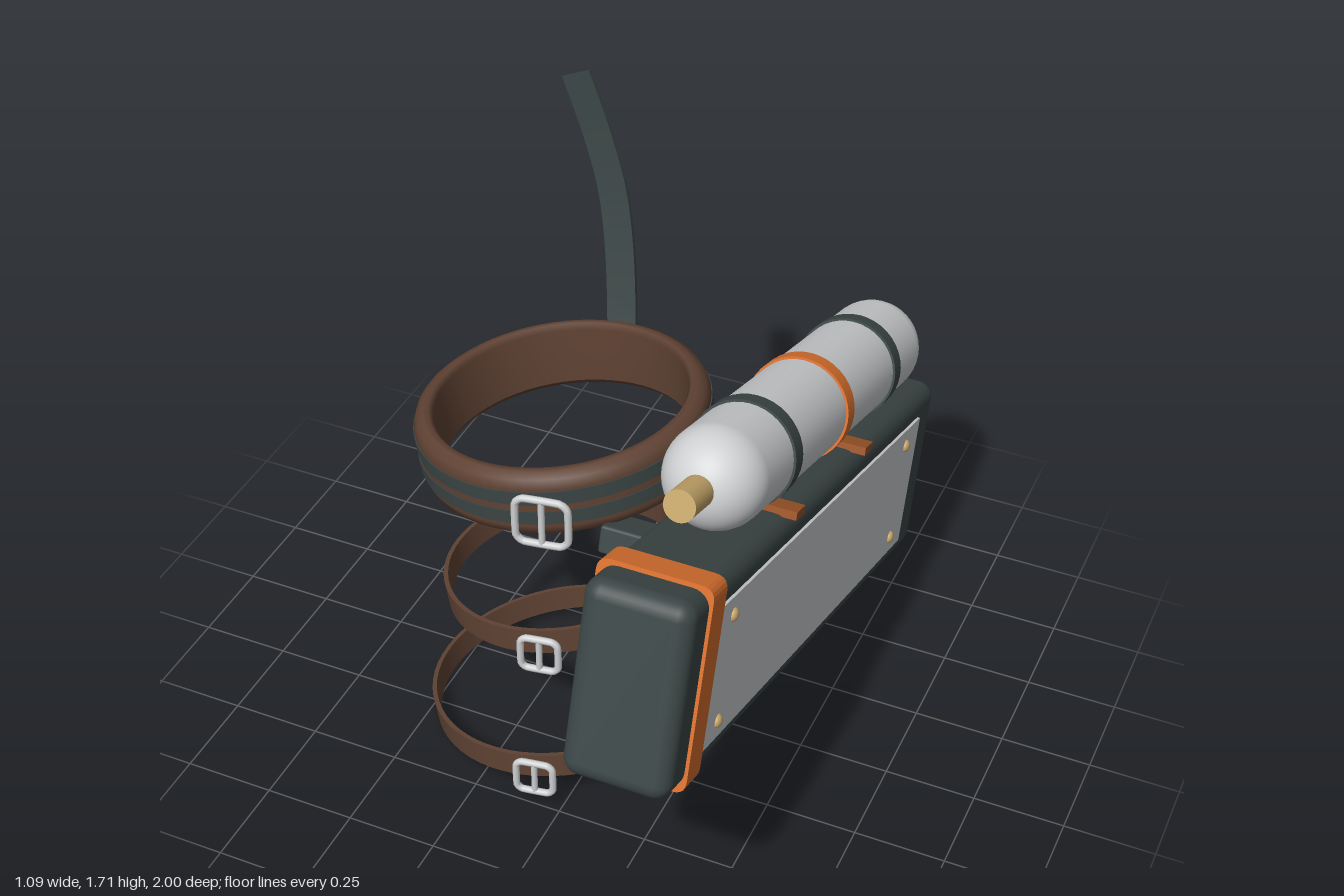
import * as THREE from 'three';
import { RoundedBoxGeometry } from 'three/addons/geometries/RoundedBoxGeometry.js';

const mat = (name, color, side = THREE.FrontSide) => {
  const m = new THREE.MeshStandardMaterial({ color, side });
  m.name = name;
  return m;
};

export function createModel() {
  const casing = mat('dark casing', 0x3c4646);
  const webbing = mat('dark webbing', 0x3a4444, THREE.DoubleSide);
  const silver = mat('pale metal', 0xcfd1d3);
  const orange = mat('orange', 0xd9702e);
  const rust = mat('rust', 0x9c5428);
  const leather = mat('brown leather', 0x5f4233);
  const brass = mat('brass', 0xc9a96c);

  const model = new THREE.Group();
  const add = (parent, name, geometry, material, x = 0, y = 0, z = 0) => {
    const mesh = new THREE.Mesh(geometry, material);
    mesh.name = name;
    mesh.position.set(x, y, z);
    parent.add(mesh);
    return mesh;
  };
  const subgroup = (parent, name, x, y, z) => {
    const g = new THREE.Group();
    g.name = name;
    g.position.set(x, y, z);
    parent.add(g);
    return g;
  };

  // Tilted launcher: everything here lies along its own z axis
  const launcher = subgroup(model, 'launcher', 0.386, 0.6655, 0.025);
  launcher.rotation.x = -0.311;
  add(launcher, 'body', new RoundedBoxGeometry(0.276, 0.508, 1.911, 4, 0.045), casing);

  // Band round the front, with rounded corners
  const w = 0.147, h = 0.266, r = 0.035;
  const outline = new THREE.Shape();
  outline.moveTo(-w + r, -h);
  outline.lineTo(w - r, -h);
  outline.quadraticCurveTo(w, -h, w, -h + r);
  outline.lineTo(w, h - r);
  outline.quadraticCurveTo(w, h, w - r, h);
  outline.lineTo(-w + r, h);
  outline.quadraticCurveTo(-w, h, -w, h - r);
  outline.lineTo(-w, -h + r);
  outline.quadraticCurveTo(-w, -h, -w + r, -h);
  const bandGeo = new THREE.ExtrudeGeometry(outline, { depth: 0.085, bevelEnabled: false, curveSegments: 5 });
  add(launcher, 'frontBand', bandGeo, orange, 0, 0, 0.76);

  // Side plate with four bolts
  add(launcher, 'sidePlate', new THREE.BoxGeometry(0.014, 0.38, 1.59), silver, 0.139, 0, 0);
  for (const z of [-0.68, 0.68]) for (const y of [-0.14, 0.14]) {
    const bolt = add(launcher, 'bolt', new THREE.SphereGeometry(0.018, 14, 10), brass, 0.146, y, z);
    bolt.scale.x = 0.7;
  }

  // Rear fins
  for (const y of [-0.165, -0.055, 0.055, 0.165]) {
    add(launcher, 'rearFin', new THREE.BoxGeometry(0.196, 0.012, 0.09), silver, 0, y, -0.973);
  }

  // Inner side brackets and saddles under the tank
  for (const s of [-1, 1]) {
    add(launcher, 'sideBracket', new RoundedBoxGeometry(0.19, 0.075, 0.105, 2, 0.008), casing, -0.204, 0.125, s * 0.4);
    add(launcher, 'saddle', new THREE.BoxGeometry(0.3, 0.022, 0.06), rust, 0, 0.26, s * 0.272);
  }

  // Gas tank with straps and valve
  const tank = subgroup(launcher, 'tank', 0.001, 0.3985, -0.082);
  tank.rotation.x = Math.PI / 2;
  add(tank, 'cylinder', new THREE.CapsuleGeometry(0.1325, 1.194, 12, 40), silver);
  add(tank, 'valve', new THREE.CylinderGeometry(0.041, 0.041, 0.15, 24), brass, 0, 0.76, 0);
  for (const y of [-0.4, 0, 0.4]) {
    add(tank, 'tankStrap', new THREE.CylinderGeometry(0.139, 0.139, 0.05, 40), y ? casing : orange, 0, y, 0);
  }

  // A closed ring with a rectangular section
  const hoop = (inner, outer, y0, y1) => new THREE.LatheGeometry(
    [[inner, y0], [outer, y0], [outer, y0], [outer, y1], [outer, y1], [inner, y1], [inner, y1], [inner, y0]]
      .map(([x, y]) => new THREE.Vector2(x, y)), 64);

  // Padded leather cuff with two dark stripes
  const cuff = subgroup(model, 'cuff', -0.155, 0.987, 0.097);
  cuff.rotation.z = 0.148;
  cuff.scale.x = 1.03;
  const cuffProfile = [[0.322, -0.08], [0.332, -0.094], [0.348, -0.094], [0.367, -0.08], [0.376, -0.055],
    [0.376, 0.055], [0.367, 0.08], [0.348, 0.094], [0.332, 0.094], [0.322, 0.08], [0.322, -0.08]];
  add(cuff, 'cuffPad', new THREE.LatheGeometry(cuffProfile.map(([x, y]) => new THREE.Vector2(x, y)), 64), leather);
  add(cuff, 'upperStripe', hoop(0.37, 0.379, 0.012, 0.05), webbing);
  add(cuff, 'lowerStripe', hoop(0.37, 0.379, -0.045, -0.008), webbing);

  // Two thin leather straps
  for (const [name, y, radius, z] of [['middleStrap', 0.507, 0.325, 0.102], ['lowerStrap', 0.106, 0.372, 0.107]]) {
    const strap = add(model, name, hoop(radius - 0.012, radius, -0.036, 0.036), leather, -0.154, y, z);
    strap.rotation.z = 0.168;
    strap.scale.x = 1.03;
  }

  // Buckles: a rounded frame with a centre bar
  const buckle = (x, y, z, size) => {
    const g = subgroup(model, 'buckle', x, y, z);
    g.rotation.y = 0.16;
    const a = size / 2 - 0.01, c = a * 0.7;
    const corners = [[-a, -c], [-a, c], [-c, a], [c, a], [a, c], [a, -c], [c, -a], [-c, -a]]
      .map(([px, py]) => new THREE.Vector3(px, py, 0));
    const path = new THREE.CatmullRomCurve3(corners, true, 'catmullrom', 0.2);
    add(g, 'frame', new THREE.TubeGeometry(path, 48, 0.01, 8, true), silver);
    add(g, 'bar', new THREE.CylinderGeometry(0.009, 0.009, size - 0.015, 8), silver);
  };
  buckle(-0.035, 0.985, 0.486, 0.155);
  buckle(-0.07, 0.507, 0.452, 0.12);
  buckle(-0.07, 0.108, 0.502, 0.12);

  // Loose tail strap rising from the back of the cuff
  const spine = new THREE.CatmullRomCurve3([
    [-0.155, 1.04, -0.262], [-0.168, 1.12, -0.29], [-0.195, 1.27, -0.335],
    [-0.23, 1.41, -0.37], [-0.29, 1.56, -0.4], [-0.352, 1.7, -0.416],
  ].map((p) => new THREE.Vector3(...p)));
  const steps = 24, pos = [], index = [];
  for (let i = 0; i <= steps; i++) {
    const p = spine.getPoint(i / steps), t = spine.getTangent(i / steps);
    const across = new THREE.Vector3(t.y, -t.x, 0).normalize();
    const out = new THREE.Vector3().crossVectors(across, t).normalize();
    for (const [u, v] of [[-1, -1], [1, -1], [1, 1], [-1, 1]]) {
      const q = p.clone().addScaledVector(across, u * 0.042).addScaledVector(out, v * 0.006);
      pos.push(q.x, q.y, q.z);
    }
    if (i < steps) for (let k = 0; k < 4; k++) {
      const a = i * 4 + k, b = i * 4 + (k + 1) % 4;
      index.push(a, a + 4, b, b, a + 4, b + 4);
    }
  }
  const e = steps * 4;
  index.push(0, 1, 2, 0, 2, 3, e, e + 2, e + 1, e, e + 3, e + 2);
  const ribbon = new THREE.BufferGeometry();
  ribbon.setAttribute('position', new THREE.Float32BufferAttribute(pos, 3));
  ribbon.setIndex(index);
  const tail = ribbon.toNonIndexed();
  tail.computeVertexNormals();
  add(model, 'tailStrap', tail, webbing);

  return model;
}
